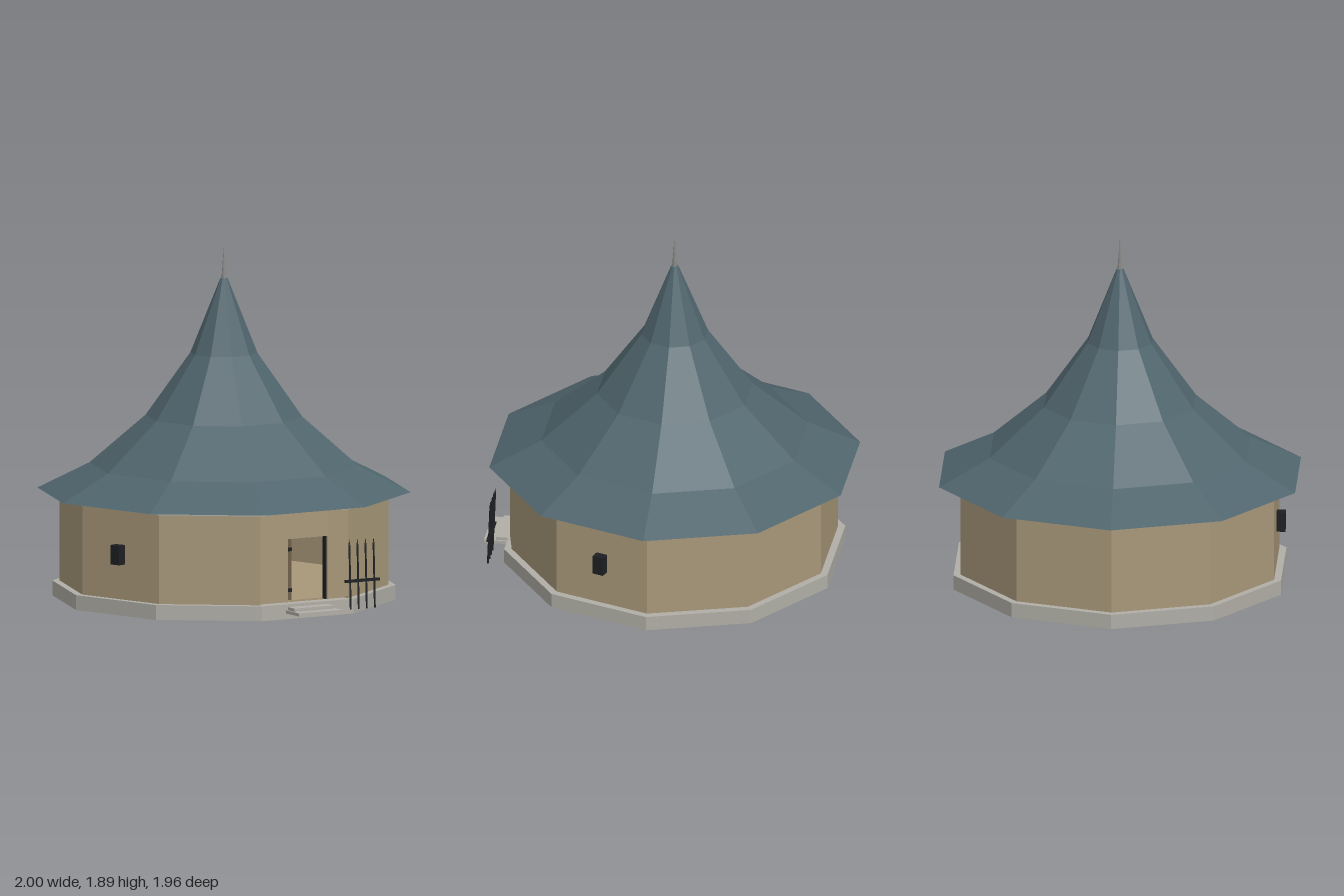
import * as THREE from 'three';

const SIDES = 10;
const CENTRE_Z = -0.03;
const RAD = Math.PI / 180;

export function createModel() {
  const model = new THREE.Group();
  model.name = 'roundHut';

  const paint = (name, color) => {
    const m = new THREE.MeshStandardMaterial({ color, flatShading: true });
    m.name = name;
    return m;
  };
  const roofMat = paint('slateRoof', 0x50656d);
  const wallMat = paint('tanWall', 0xa8987a);
  const stoneMat = paint('paleStone', 0xb0aea6);
  const blackMat = paint('blackIron', 0x1d1f22);
  const doorMat = paint('brownDoor', 0x6e6049);
  const steelMat = paint('spireMetal', 0x8a8a86);

  const add = (parent, name, geometry, material, x = 0, y = 0, z = 0) => {
    const mesh = new THREE.Mesh(geometry, material);
    mesh.name = name;
    mesh.position.set(x, y, z);
    parent.add(mesh);
    return mesh;
  };
  const box = (parent, name, w, h, d, material, x, y, z) =>
    add(parent, name, new THREE.BoxGeometry(w, h, d), material, x, y, z);

  // Everything round shares an axis slightly behind the origin; angle 0 is the front
  const hut = new THREE.Group();
  hut.name = 'hut';
  hut.position.z = CENTRE_Z;
  model.add(hut);

  // Ten-sided slab with a flat side at the front
  const slab = (name, radius, y0, y1, material) =>
    add(hut, name, new THREE.CylinderGeometry(radius, radius, y1 - y0, SIDES, 1, false, 18 * RAD),
      material, 0, (y0 + y1) / 2, 0);

  // Upright wall following a list of angles in degrees
  const wall = (name, angles, outer, inner, y0, y1, material) => {
    const at = (r) => (a) => new THREE.Vector2(r * Math.sin(a * RAD), -r * Math.cos(a * RAD));
    const shape = new THREE.Shape([...angles.map(at(outer)), ...angles.map(at(inner)).reverse()]);
    const g = new THREE.ExtrudeGeometry(shape, { depth: y1 - y0, bevelEnabled: false });
    g.rotateX(-Math.PI / 2);
    return add(hut, name, g, material, 0, y0, 0);
  };

  // Plinth and floor
  slab('plinth', 0.92, 0, 0.08, stoneMat);
  slab('floor', 0.85, 0.08, 0.09, wallMat);

  // Nine straight walls and a trim band under the eaves
  const corners = Array.from({ length: SIDES }, (_, i) => 18 + i * 36);
  wall('walls', corners, 0.88, 0.845, 0.08, 0.58, wallMat);
  wall('eavesTrim', [...corners, 378], 0.892, 0.86, 0.56, 0.581, stoneMat);

  // Bowed front wall around the doorway
  wall('frontWallLeft', [8, 18], 0.88, 0.845, 0.09, 0.58, wallMat);
  wall('frontWallRight', [-18, -8], 0.88, 0.845, 0.09, 0.58, wallMat);
  wall('lintel', [-8, 8], 0.88, 0.845, 0.43, 0.58, wallMat);

  // Bell-shaped roof with a flat soffit
  const profile = [[0, 0.58], [1, 0.58], [0.72, 0.72], [0.42, 0.98], [0.18, 1.32], [0.02, 1.72], [0, 1.725]]
    .map(([x, y]) => new THREE.Vector2(x, y));
  add(hut, 'roof', new THREE.LatheGeometry(profile, SIDES, 18 * RAD), roofMat);
  add(hut, 'spire', new THREE.CylinderGeometry(0.001, 0.014, 0.17, 8), steelMat, 0, 1.805, 0);

  // Projecting windows on both front quarters
  for (const side of [1, -1]) {
    const a = side * 72 * RAD;
    const win = box(hut, side > 0 ? 'windowLeft' : 'windowRight', 0.062, 0.105, 0.053, blackMat,
      0.858 * Math.sin(a), 0.323, 0.858 * Math.cos(a));
    win.rotation.y = a;
  }

  // Door standing open inwards, with iron straps
  const door = new THREE.Group();
  door.name = 'door';
  model.add(door);
  box(door, 'doorLeaf', 0.032, 0.33, 0.23, doorMat, -0.102, 0.262, 0.7);
  for (const y of [0.15, 0.37]) box(door, 'hingeStrap', 0.037, 0.02, 0.234, blackMat, -0.102, y, 0.7);
  box(model, 'doorJamb', 0.008, 0.34, 0.03, blackMat, 0.118, 0.26, 0.82);

  // Bench inside
  const bench = new THREE.Group();
  bench.name = 'bench';
  model.add(bench);
  box(bench, 'benchSeat', 0.5, 0.02, 0.16, wallMat, -0.1, 0.195, -0.5);
  for (const x of [-0.32, 0.09]) box(bench, 'benchLeg', 0.03, 0.1, 0.12, wallMat, x, 0.137, -0.5);

  // Two entrance steps
  box(model, 'lowerStep', 0.27, 0.017, 0.15, stoneMat, 0, 0.039, 0.905);
  box(model, 'upperStep', 0.25, 0.017, 0.085, stoneMat, 0, 0.056, 0.8725);

  // Rack of leaning spears
  const rack = new THREE.Group();
  rack.name = 'spearRack';
  rack.position.set(0, 0.035, 0.918);
  rack.rotation.x = -0.04;
  model.add(rack);
  for (const x of [0.222, 0.272, 0.322, 0.372]) {
    add(rack, 'spearShaft', new THREE.CylinderGeometry(0.005, 0.005, 0.34, 6), blackMat, x, 0.17, 0);
    add(rack, 'spearTip', new THREE.ConeGeometry(0.006, 0.04, 6), blackMat, x, 0.358, 0);
  }
  box(rack, 'crossbar', 0.21, 0.015, 0.018, blackMat, 0.297, 0.152, 0);

  return model;
}
